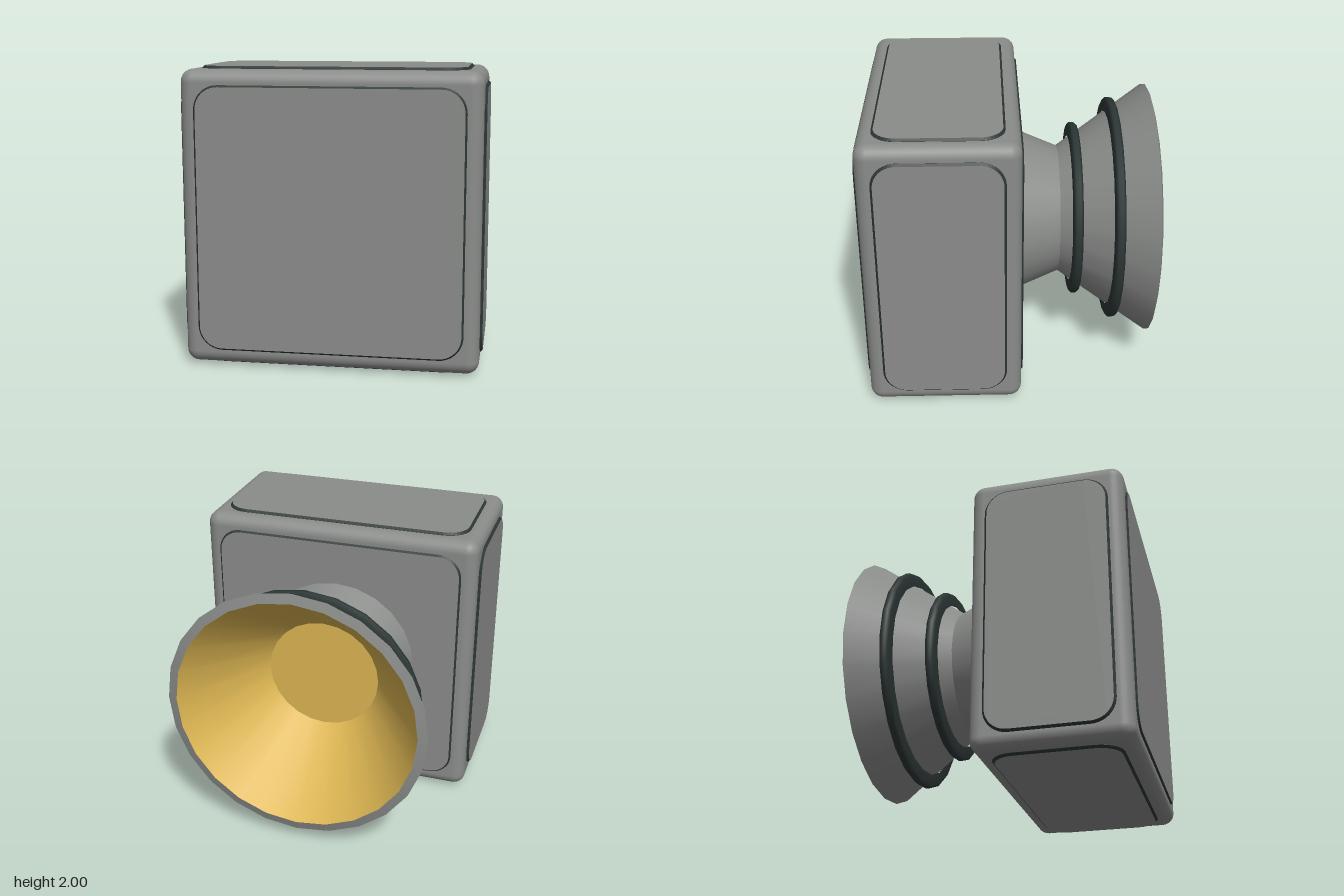
import * as THREE from 'three';
import { RoundedBoxGeometry } from 'three/addons/geometries/RoundedBoxGeometry.js';

const material = (name, color) => {
  const m = new THREE.MeshStandardMaterial({ color });
  m.name = name;
  return m;
};

// Rounded rectangle outline centred on the origin
function roundedRect(w, h, r) {
  const x = w / 2, y = h / 2, s = new THREE.Shape();
  s.moveTo(-x + r, -y);
  s.lineTo(x - r, -y);
  s.absarc(x - r, -y + r, r, -Math.PI / 2, 0);
  s.lineTo(x, y - r);
  s.absarc(x - r, y - r, r, 0, Math.PI / 2);
  s.lineTo(-x + r, y);
  s.absarc(-x + r, y - r, r, Math.PI / 2, Math.PI);
  s.lineTo(-x, -y + r);
  s.absarc(-x + r, -y + r, r, Math.PI, Math.PI * 1.5);
  return s;
}

export function createModel() {
  const metal = material('grey metal', 0x8a8c8a);
  const trim = material('dark trim', 0x2c3735);
  const glow = material('golden interior', 0xdcb552);
  const model = new THREE.Group();
  const midY = 1, midZ = 0.4625;

  const add = (name, geometry, mat) => {
    const mesh = new THREE.Mesh(geometry, mat);
    mesh.name = name;
    model.add(mesh);
    return mesh;
  };

  // Main block
  add('body', new RoundedBoxGeometry(1.966, 1.966, 1.05, 4, 0.085), metal)
    .position.set(0, midY, midZ);

  // Raised panel on each face: grey cap, dark bevelled edge
  const bevel = 0.015;
  function panel(name, w, h, reach, rx, ry) {
    const g = new THREE.ExtrudeGeometry(roundedRect(w - 2 * bevel, h - 2 * bevel, 0.15), {
      depth: 0.03, bevelThickness: bevel, bevelSize: bevel, bevelSegments: 1, curveSegments: 5,
    });
    g.translate(0, 0, reach - 0.03 - bevel);
    g.rotateX(rx).rotateY(ry);
    add(name, g, [metal, trim]).position.set(0, midY, midZ);
  }
  const long = 1.77, short = 0.85, q = Math.PI / 2;
  panel('frontPanel', long, long, 0.5375, 0, 0);
  panel('backPanel', long, long, 0.5375, 0, Math.PI);
  panel('leftPanel', short, long, 1, 0, q);
  panel('rightPanel', short, long, 1, 0, -q);
  panel('topPanel', long, short, 1, -q, 0);
  panel('bottomPanel', long, short, 1, q, 0);

  // Turned parts on the rear axis; profile points are [radius, distance behind centre]
  function turned(name, points, mat) {
    const g = new THREE.LatheGeometry(points.map(p => new THREE.Vector2(...p)), 24);
    g.rotateX(-q);
    add(name, g, mat).position.y = midY;
  }
  turned('nozzleNeck', [[0.58, 0.06], [0.46, 0.35]], metal);
  turned('nozzleBell', [[0.46, 0.35], [0.905, 0.982]], metal);
  turned('nozzleRim', [[0.905, 0.982], [0.84, 1]], metal);
  turned('nozzleInside', [[0.84, 1], [0.4, 0.37]], glow);
  turned('nozzleThroat', [[0.4, 0.37], [0, 0.37]], glow);

  // Dark bands around the bell
  for (const [name, r, z] of [['innerBand', 0.63, 0.464], ['outerBand', 0.81, 0.73]]) {
    turned(name, [
      [r - 0.1, z - 0.033], [r - 0.02, z - 0.033], [r, z - 0.014],
      [r, z + 0.014], [r - 0.02, z + 0.033], [r - 0.08, z + 0.033],
    ], trim);
  }
  return model;
}
